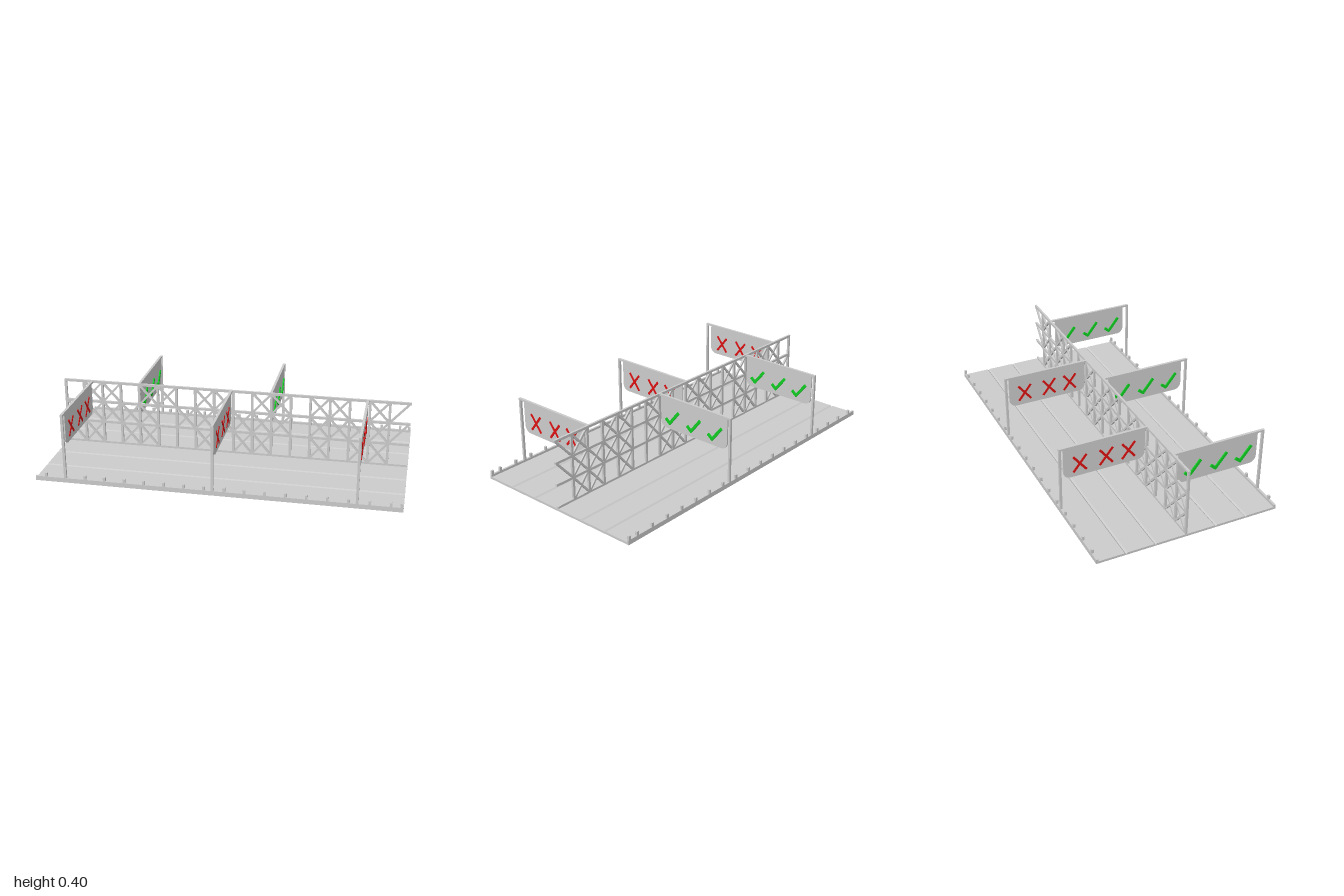
import * as THREE from 'three';

const grey = new THREE.MeshStandardMaterial({ color: 0xcccccc });
const red = new THREE.MeshStandardMaterial({ color: 0xdd1111 });
const green = new THREE.MeshStandardMaterial({ color: 0x11cc22 });

function box(parent, name, size, pos, mat = grey) {
  const m = new THREE.Mesh(new THREE.BoxGeometry(...size), mat);
  m.name = name;
  m.position.set(...pos);
  parent.add(m);
  return m;
}

// Square bar between two points given as [horizontal, y], in the XY plane
function bar(parent, name, a, b, t, z) {
  const m = box(parent, name, [Math.hypot(b[0] - a[0], b[1] - a[1]), t, t],
    [(a[0] + b[0]) / 2, (a[1] + b[1]) / 2, z]);
  m.rotation.z = Math.atan2(b[1] - a[1], b[0] - a[0]);
}

// Flat stroke between two points given as [z, y], in the ZY plane
function stroke(parent, name, a, b, width, depth, x, mat) {
  const len = Math.hypot(b[0] - a[0], b[1] - a[1]);
  const m = box(parent, name, [depth, width, len], [x, (a[1] + b[1]) / 2, (a[0] + b[0]) / 2], mat);
  m.rotation.x = -Math.atan2(b[1] - a[1], b[0] - a[0]);
}

// Road slab with V-shaped lane grooves, swept along x
function makeDeck() {
  const s = new THREE.Shape();
  s.moveTo(-0.518, 0);
  s.lineTo(0.518, 0);
  s.lineTo(0.518, 0.013);
  for (const g of [0.355, 0.19, -0.157, -0.335]) {
    s.lineTo(g + 0.008, 0.013);
    s.lineTo(g, 0.006);
    s.lineTo(g - 0.008, 0.013);
  }
  s.lineTo(-0.518, 0.013);
  s.closePath();
  const geo = new THREE.ExtrudeGeometry(s, { depth: 2, bevelEnabled: false });
  geo.translate(0, 0, -1).rotateY(Math.PI / 2);
  const deck = new THREE.Mesh(geo, grey);
  deck.name = 'deck';
  return deck;
}

// Low kerb with short studs on each long edge
function makeKerb(side) {
  const g = new THREE.Group();
  g.name = side > 0 ? 'frontKerb' : 'backKerb';
  box(g, 'kerbRail', [2, 0.026, 0.012], [0, 0.013, side * 0.512]);
  for (let i = 0; i <= 18; i++)
    box(g, 'kerbStud', [0.014, 0.03, 0.012], [Math.min(-0.94 + i * 0.1103, 0.99), 0.033, side * 0.512]);
  return g;
}

// Central lattice fence: x marks a cross-braced cell, / a single brace
function makeTruss() {
  const g = new THREE.Group();
  g.name = 'centralTruss';
  const z = -0.015, step = 0.1103, x0 = -0.992;
  const levels = [0.018, 0.148, 0.272, 0.394];
  const rows = ['xx.xx..x.xx..x.xx.', 'xxxxx.xxxxxx.xxxx/', '.xx.xx.xx.xx.xx.x/'];
  const columns = rows[0].length;
  levels.forEach((y, i) =>
    box(g, 'trussRail', [columns * step + 0.012, 0.014, 0.012], [x0 + columns * step / 2, y, z]));
  for (let c = 0; c < columns; c++)
    box(g, 'trussUpright', [0.014, 0.4, 0.012], [x0 + c * step, 0.2, z]);
  rows.forEach((row, r) => {
    for (let c = 0; c < columns; c++) {
      const l = x0 + c * step, rt = l + step, b = levels[r], t = levels[r + 1];
      if (row[c] !== '.') bar(g, 'trussBrace', [l, b], [rt, t], 0.011, z);
      if (row[c] === 'x') bar(g, 'trussBrace', [l, t], [rt, b], 0.011, z);
    }
  });
  return g;
}

// Hanging sign plate with rounded lower corners
function makePlate() {
  const a = -0.4875, b = -0.0225, top = 0.392, low = 0.21, r = 0.04;
  const s = new THREE.Shape();
  s.moveTo(a, top);
  s.lineTo(a, low + r);
  s.absarc(a + r, low + r, r, Math.PI, Math.PI * 1.5, false);
  s.absarc(b - r, low + r, r, Math.PI * 1.5, Math.PI * 2, false);
  s.lineTo(b, top);
  s.closePath();
  const geo = new THREE.ExtrudeGeometry(s, { depth: 0.008, bevelEnabled: false, curveSegments: 8 });
  geo.translate(0, 0, -0.004).rotateY(Math.PI / 2);
  const plate = new THREE.Mesh(geo, grey);
  plate.name = 'signPlate';
  return plate;
}

// Lane gantry: post, beam and sign, crosses on one face and ticks on the other
function makeGantry(x, side) {
  const g = new THREE.Group();
  g.name = 'gantry';
  const post = side > 0 ? 0.5195 : 0.5045;
  const inner = side > 0 ? -0.0075 : 0.0075;
  box(g, 'gantryPost', [0.014, 0.4, 0.012], [0, 0.2, post]);
  box(g, 'gantryBeam', [0.014, 0.011, post - inner], [0, 0.3945, (post + inner) / 2]);
  g.add(makePlate());
  for (const z of [0.395, 0.246, 0.118])
    for (const d of [-1, 1])
      stroke(g, 'crossMark', [z - 0.037 * d, 0.238], [z + 0.037 * d, 0.332], 0.0125, 0.004, 0.005, red);
  for (const z of [0.107, 0.26, 0.407]) {
    stroke(g, 'tickShort', [z - 0.047, 0.268], [z - 0.014, 0.241], 0.016, 0.008, -0.007, green);
    stroke(g, 'tickLong', [z - 0.021, 0.242], [z + 0.044, 0.324], 0.016, 0.008, -0.007, green);
  }
  g.position.set(x, 0, -0.0075);
  if (side < 0) g.rotation.y = Math.PI;
  return g;
}

export function createModel() {
  const model = new THREE.Group();
  model.name = 'dividedRoadBridge';
  model.add(makeDeck(), makeKerb(1), makeKerb(-1), makeTruss());
  for (const x of [-0.83, -0.01, 0.76]) model.add(makeGantry(x, 1));
  for (const x of [-0.55, 0.218]) model.add(makeGantry(x, -1));
  return model;
}
